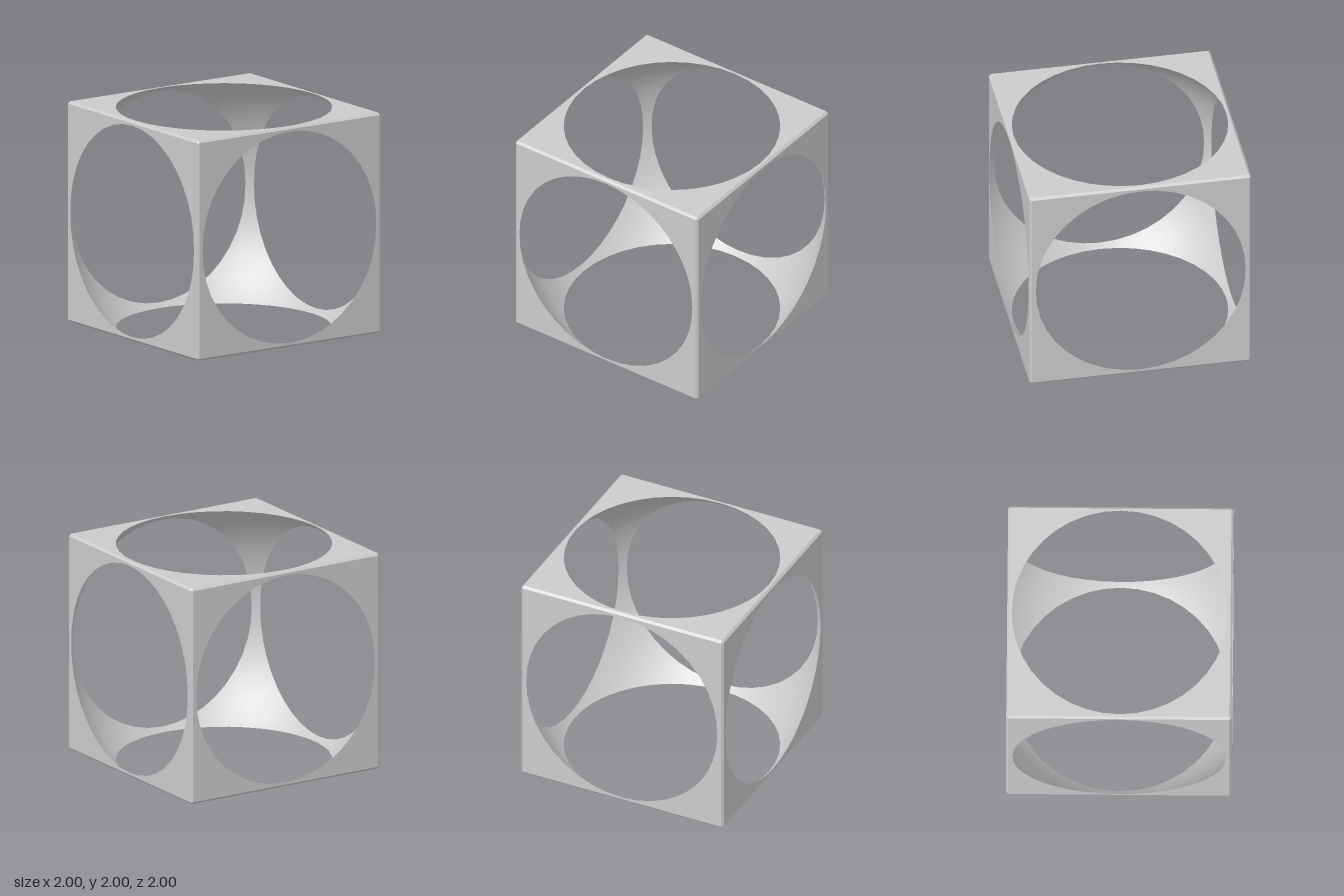
import * as THREE from 'three';

const H = 0.98;        // half width of a face inside the bevel
const SEG = 40, ROWS = 8;

// radius of the spherical hollow, very slightly slimmer around its equator
const hollowRadius = (dir) => 1.376 + 0.01 * Math.min(1, Math.abs(dir.y) / 0.68);

// hole rim of one face, as 2D points in the face's own plane
function rimPoints(quat) {
  const points = [];
  for (let i = 0; i < SEG; i++) {
    const a = (i / SEG) * Math.PI * 2;
    let r = 0.955;
    for (let k = 0; k < 4; k++) {
      const dir = new THREE.Vector3(r * Math.cos(a), r * Math.sin(a), 1).normalize().applyQuaternion(quat);
      r = Math.sqrt(hollowRadius(dir) ** 2 - 1);
    }
    points.push(new THREE.Vector2(r * Math.cos(a), r * Math.sin(a)));
  }
  return points;
}

// flat square face with its round hole
function plateGeometry(quat, rim) {
  const shape = new THREE.Shape([[-H, -H], [H, -H], [H, H], [-H, H]].map(([x, y]) => new THREE.Vector2(x, y)));
  shape.holes.push(new THREE.Path([...rim].reverse()));
  return new THREE.ShapeGeometry(shape).translate(0, 0, 1).applyQuaternion(quat);
}

// part of the hollow behind one face: from the rim out to the cube's edges, cast onto the sphere
function hollowGeometry(quat, rim) {
  const pos = [], nor = [], idx = [];
  for (let i = 0; i <= SEG; i++) {
    const p = rim[i % SEG];
    const outer = p.clone().divideScalar(Math.max(Math.abs(p.x), Math.abs(p.y)));
    for (let j = 0; j <= ROWS; j++) {
      const q = p.clone().lerp(outer, j / ROWS);
      const dir = new THREE.Vector3(q.x, q.y, 1).normalize().applyQuaternion(quat);
      nor.push(-dir.x, -dir.y, -dir.z);
      pos.push(...dir.multiplyScalar(hollowRadius(dir)).toArray());
      if (i < SEG && j < ROWS) {
        const a = i * (ROWS + 1) + j, d = a + ROWS + 1;
        idx.push(a, d + 1, a + 1, a, d, d + 1);
      }
    }
  }
  const g = new THREE.BufferGeometry();
  g.setAttribute('position', new THREE.Float32BufferAttribute(pos, 3));
  g.setAttribute('normal', new THREE.Float32BufferAttribute(nor, 3));
  g.setIndex(idx);
  return g;
}

// small triangle closing the bevels at a corner
function cornerGeometry(sx, sy, sz) {
  const pts = [[1, H, H], [H, 1, H], [H, H, 1]].map(([x, y, z]) => new THREE.Vector3(x * sx, y * sy, z * sz));
  if (sx * sy * sz < 0) pts.reverse();
  const g = new THREE.BufferGeometry().setFromPoints(pts);
  g.computeVertexNormals();
  return g;
}

export function createModel() {
  const model = new THREE.Group();
  model.name = 'hollowCube';
  const material = new THREE.MeshStandardMaterial({ color: 0xcccccc });
  const add = (name, geometry) => {
    const mesh = new THREE.Mesh(geometry.translate(0, 1, 0), material);
    mesh.name = name;
    model.add(mesh);
  };

  // six faces, each with its share of the hollow
  const q = Math.PI / 2;
  const faces = {
    front: [0, 0], left: [0, q], back: [0, 2 * q], right: [0, -q], top: [-q, 0], bottom: [q, 0],
  };
  for (const [name, [rx, ry]] of Object.entries(faces)) {
    const quat = new THREE.Quaternion().setFromEuler(new THREE.Euler(rx, ry, 0));
    const rim = rimPoints(quat);
    add(name + 'Face', plateGeometry(quat, rim));
    add(name + 'Hollow', hollowGeometry(quat, rim));
  }

  // bevels along the twelve edges: four around x, then turned to lie along y and z
  const turns = [(g) => g, (g) => g.rotateZ(q), (g) => g.rotateY(q)];
  for (const turn of turns) {
    for (let k = 0; k < 4; k++) {
      const strip = new THREE.PlaneGeometry(2 * H, (1 - H) * Math.SQRT2)
        .translate(0, 0, (1 + H) / Math.SQRT2)
        .rotateX(Math.PI / 4 + k * q);
      add('edgeBevel', turn(strip));
    }
  }

  // eight corners
  for (const sx of [-1, 1]) for (const sy of [-1, 1]) for (const sz of [-1, 1]) {
    add('cornerBevel', cornerGeometry(sx, sy, sz));
  }
  return model;
}
